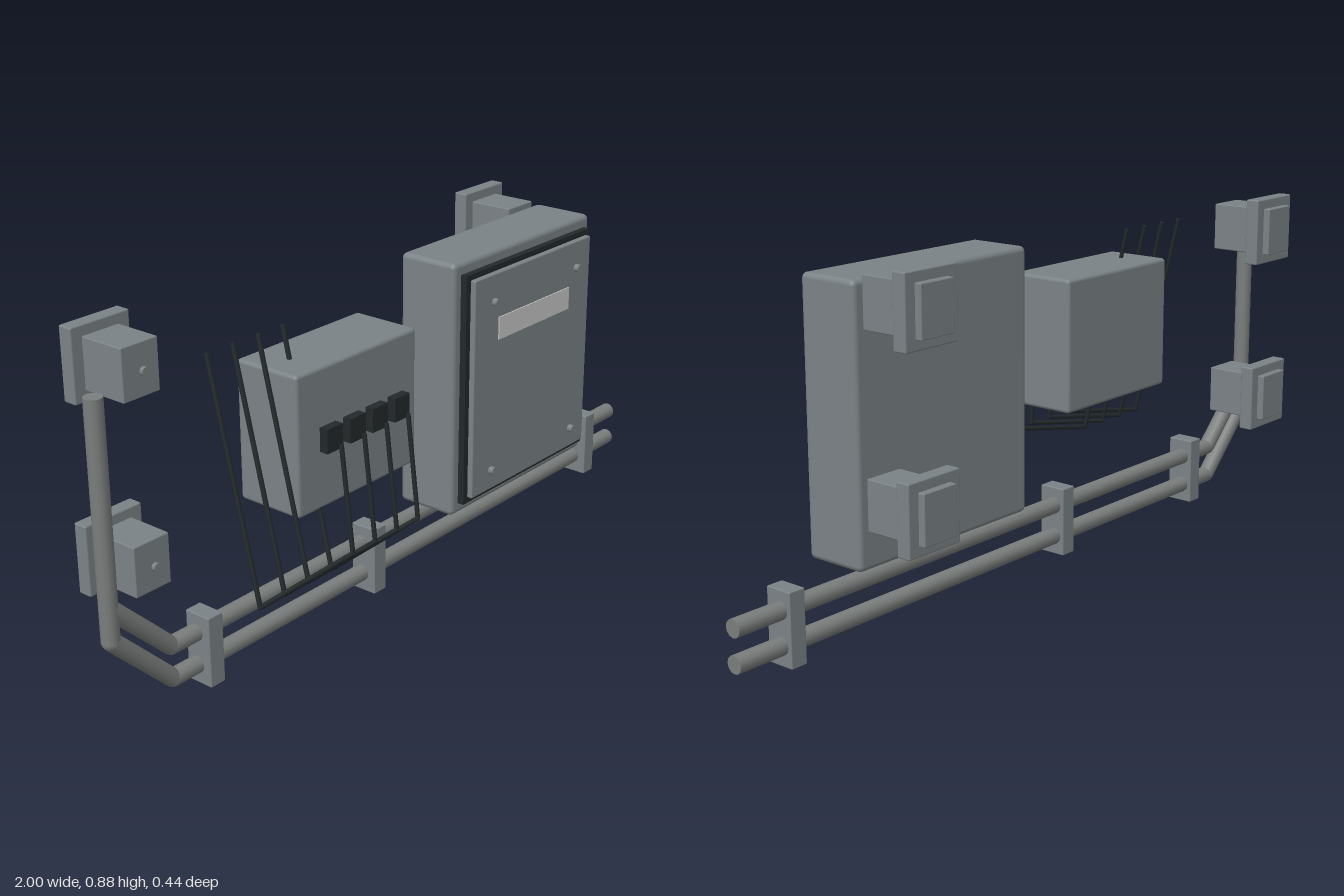
import * as THREE from 'three';
import { RoundedBoxGeometry } from 'three/addons/geometries/RoundedBoxGeometry.js';

export function createModel() {
  const model = new THREE.Group();
  model.name = 'wallElectricalCabinets';

  const material = (name, color) => {
    const m = new THREE.MeshStandardMaterial({ color });
    m.name = name;
    return m;
  };
  const steel = material('grey steel', 0x7b8386);
  const conduit = material('conduit grey', 0x7a7e7c);
  const rubber = material('dark rubber', 0x23292b);
  const labelPaint = material('pale label', 0xc9c9c9);

  const add = (name, geometry, mat, parent = model) => {
    const mesh = new THREE.Mesh(geometry, mat);
    mesh.name = name;
    parent.add(mesh);
    return mesh;
  };

  // Box given by its extents on each axis, with optional rounded edges
  const box = (name, [x0, x1], [y0, y1], [z0, z1], mat, radius = 0, parent = model) => {
    const size = [x1 - x0, y1 - y0, z1 - z0];
    const geometry = radius
      ? new RoundedBoxGeometry(...size, 2, radius)
      : new THREE.BoxGeometry(...size);
    const mesh = add(name, geometry, mat, parent);
    mesh.position.set((x0 + x1) / 2, (y0 + y1) / 2, (z0 + z1) / 2);
    return mesh;
  };

  // Screw head facing the front
  const screw = (name, x, y, z0, z1, parent) => {
    const geometry = new THREE.CylinderGeometry(0.011, 0.011, z1 - z0, 8).rotateX(Math.PI / 2);
    add(name, geometry, steel, parent).position.set(x, y, (z0 + z1) / 2);
  };

  // Straight rods joined by ball corners
  const rodPath = (name, points, radius, sides, mat) => {
    const group = new THREE.Group();
    group.name = name;
    const p = points.map((q) => new THREE.Vector3(...q));
    for (let i = 0; i < p.length - 1; i++) {
      const dir = p[i + 1].clone().sub(p[i]);
      const rod = add(name + 'Segment', new THREE.CylinderGeometry(radius, radius, dir.length(), sides), mat, group);
      rod.position.copy(p[i]).add(p[i + 1]).multiplyScalar(0.5);
      rod.quaternion.setFromUnitVectors(new THREE.Vector3(0, 1, 0), dir.normalize());
      if (i > 0) {
        add(name + 'Bend', new THREE.SphereGeometry(radius, sides, 8), mat, group).position.copy(p[i]);
      }
    }
    model.add(group);
  };

  // Large cabinet with gasket, door, label and door screws
  const cabinet = new THREE.Group();
  cabinet.name = 'largeCabinet';
  model.add(cabinet);
  box('cabinetBody', [0.065, 0.655], [0.167, 0.845], [-0.041, 0.128], steel, 0.014, cabinet);
  box('doorGasket', [0.092, 0.63], [0.198, 0.814], [0.126, 0.146], rubber, 0, cabinet);
  box('door', [0.108, 0.614], [0.213, 0.8], [0.144, 0.161], steel, 0.004, cabinet);
  box('label', [0.207, 0.517], [0.622, 0.682], [0.16, 0.164], labelPaint, 0, cabinet);
  for (const x of [0.18, 0.541]) {
    for (const y of [0.272, 0.73]) screw('doorScrew', x, y, 0.166, 0.18, cabinet);
  }

  // Junction box
  box('junctionBox', [-0.522, -0.1], [0.385, 0.735], [-0.042, 0.142], steel, 0.01);

  // Sockets on the junction box, each with a cable
  for (let i = 0; i < 4; i++) {
    const x = -0.42 + i * 0.08;
    box('cableSocket', [x - 0.027, x + 0.027], [0.53, 0.59], [0.14, 0.165], rubber);
    rodPath('cable', [
      [x, 0.55, 0.183],
      [x, 0.284, 0.214],
      [x - 0.267, 0.241, 0.171],
      [x - 0.267, 0.814, 0.035],
    ], 0.006, 6, rubber);
  }

  // Wall mounts: a square block through a wider flange
  for (const x of [-0.808, 0.575]) {
    for (const y of [0.325, 0.793]) {
      const mount = new THREE.Group();
      mount.name = 'wallMount';
      model.add(mount);
      box('mountBlock', [x - 0.053, x + 0.053], [y - 0.063, y + 0.063], [-0.218, -0.041], steel, 0.003, mount);
      box('mountFlange', [x - 0.084, x + 0.084], [y - 0.089, y + 0.089], [-0.2, -0.162], steel, 0.004, mount);
      screw('mountScrew', x, y, -0.034, -0.024, mount);
    }
  }

  // Two conduits that meet in one riser at the end
  const r = 0.022;
  rodPath('lowerConduit', [[1, 0.05, 0], [-0.805, 0.05, 0], [-0.978, 0.222, 0], [-0.978, 0.795, 0]], r, 12, conduit);
  rodPath('upperConduit', [[1, 0.134, 0], [-0.805, 0.134, 0], [-0.978, 0.303, 0]], r, 12, conduit);

  // Clamps around both conduits
  for (const x of [-0.703, -0.118, 0.84]) {
    box('conduitClamp', [x - 0.023, x + 0.023], [0, 0.182], [-0.031, 0.043], steel, 0.003);
  }

  return model;
}
